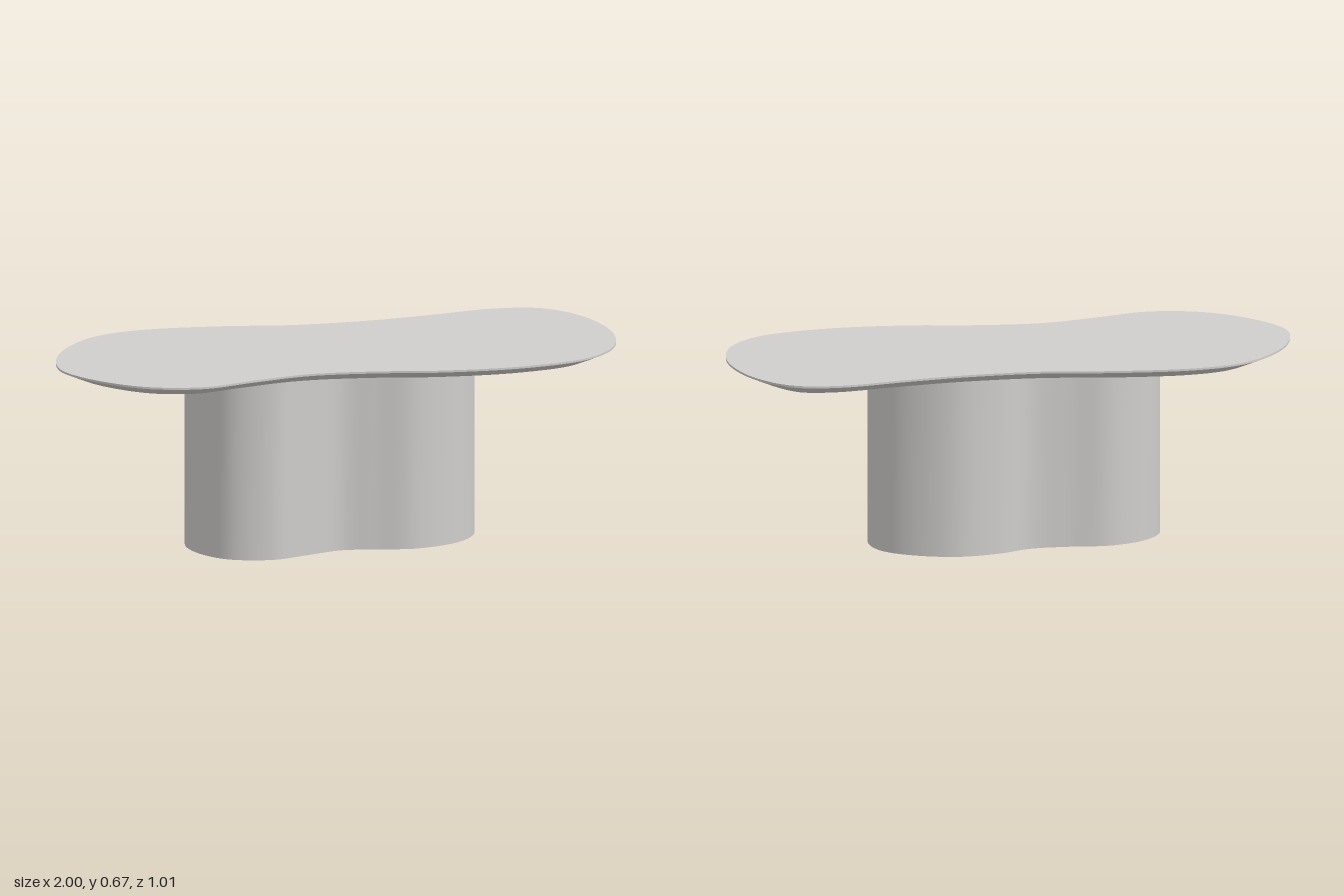
import * as THREE from 'three';

// Outlines as [x, z], running from +x towards +z
const TOP = [
  [1, 0], [0.97, 0.18], [0.89, 0.345], [0.75, 0.46], [0.5, 0.503], [0.22, 0.468], [0, 0.4],
  [-0.23, 0.362], [-0.45, 0.395], [-0.64, 0.43], [-0.82, 0.36], [-0.95, 0.19], [-1, 0],
  [-0.93, -0.22], [-0.8, -0.39], [-0.67, -0.48], [-0.5, -0.508], [-0.23, -0.466], [0, -0.4],
  [0.27, -0.375], [0.5, -0.386], [0.75, -0.405], [0.9, -0.352], [0.98, -0.2],
];
const BASE = [
  [0.5, 0], [0.475, 0.115], [0.37, 0.23], [0.2, 0.274], [0.06, 0.235], [-0.05, 0.21],
  [-0.18, 0.24], [-0.32, 0.272], [-0.46, 0.215], [-0.525, 0.09], [-0.52, -0.07],
  [-0.43, -0.185], [-0.29, -0.235], [-0.14, -0.208], [-0.01, -0.2], [0.12, -0.244],
  [0.27, -0.25], [0.4, -0.185], [0.48, -0.095],
];
const N = 144;

// Smooth closed outline, optionally moved inwards along its normals
function outline(pts, inset = 0) {
  const curve = new THREE.CatmullRomCurve3(pts.map(([x, z]) => new THREE.Vector3(x, 0, z)), true);
  return Array.from({ length: N }, (_, i) => {
    const p = curve.getPointAt(i / N), t = curve.getTangentAt(i / N);
    return new THREE.Vector2(p.x - t.z * inset, p.y + p.z + t.x * inset);
  });
}

// Smooth wall between a lower and an upper ring
function wall(low, y0, high, y1) {
  const pos = [], index = [];
  for (let i = 0; i < N; i++) {
    pos.push(low[i].x, y0, low[i].y, high[i].x, y1, high[i].y);
    const a = 2 * i, c = 2 * ((i + 1) % N);
    index.push(a, a + 1, c, a + 1, c + 1, c);
  }
  const g = new THREE.BufferGeometry();
  g.setAttribute('position', new THREE.Float32BufferAttribute(pos, 3));
  g.setIndex(index);
  g.computeVertexNormals();
  return g;
}

// Flat face filling a ring, facing up or down
function cap(ring, y, up) {
  const s = up ? -1 : 1;
  const shape = new THREE.Shape(ring.map(p => new THREE.Vector2(p.x, s * p.y)));
  return new THREE.ShapeGeometry(shape).rotateX(s * Math.PI / 2).translate(0, y, 0);
}

export function createModel() {
  const stone = new THREE.MeshStandardMaterial({ color: 0xd0cecc });
  stone.name = 'pale warm grey';

  const part = (name, pieces) => {
    const group = new THREE.Group();
    group.name = name;
    for (const [label, geometry] of Object.entries(pieces)) {
      const mesh = new THREE.Mesh(geometry, stone);
      mesh.name = label;
      group.add(mesh);
    }
    return group;
  };

  const rim = outline(TOP), under = outline(TOP, 0.077), foot = outline(BASE);
  const model = new THREE.Group();
  model.name = 'table';

  // Table top: thin upright rim over a wide undercut bevel
  model.add(part('tableTop', {
    topSurface: cap(rim, 0.665, true),
    topRim: wall(rim, 0.658, rim, 0.665),
    topBevel: wall(under, 0.626, rim, 0.658),
    topUnderside: cap(under, 0.626, false),
  }));

  // Two-lobed pedestal
  model.add(part('pedestal', {
    pedestalWall: wall(foot, 0, foot, 0.626),
    pedestalBottom: cap(foot, 0, false),
  }));
  return model;
}
